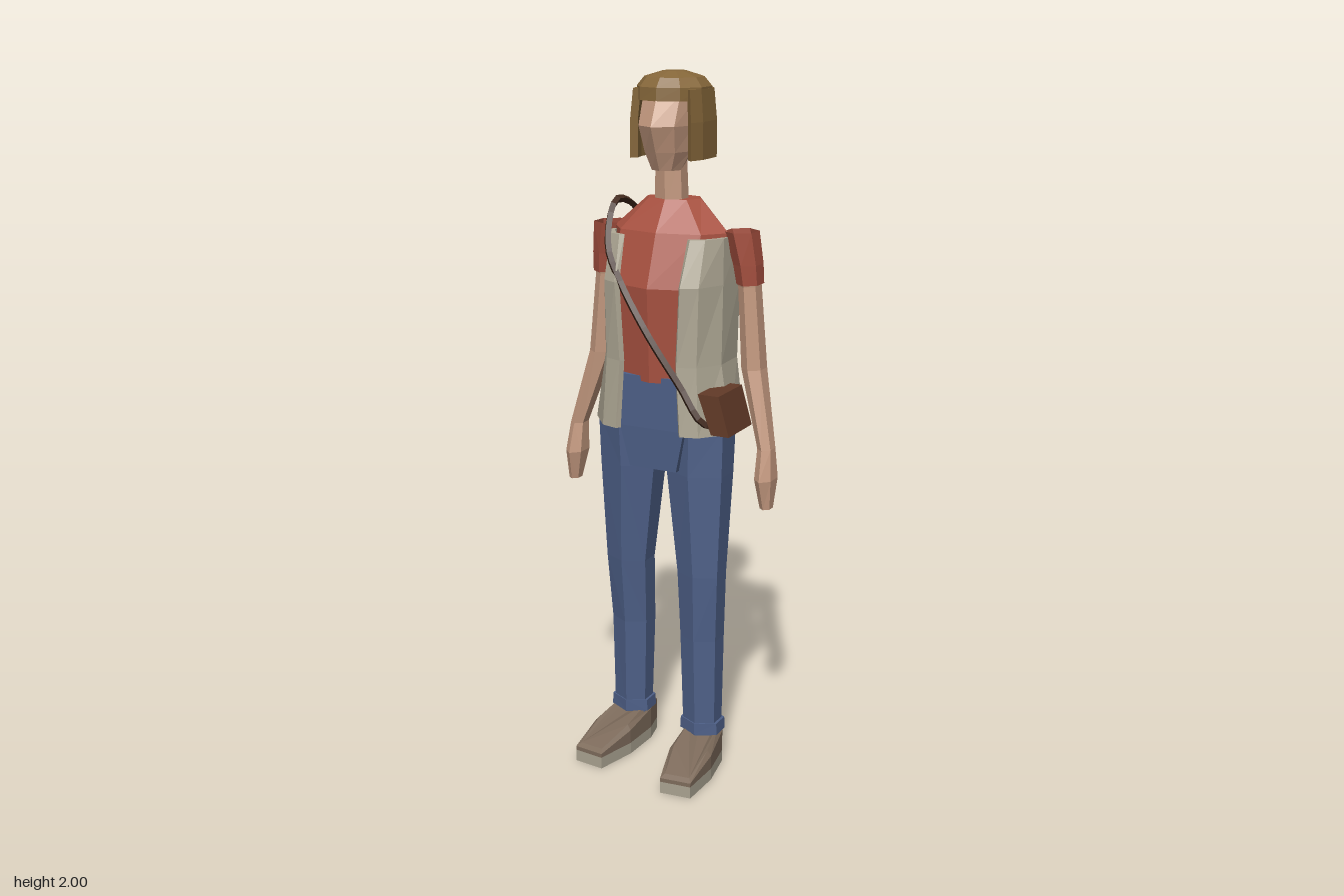
import * as THREE from 'three';

const mat = (name, color, side = THREE.FrontSide) =>
  Object.assign(new THREE.MeshStandardMaterial({ color, flatShading: true, side }), { name });

// Cross-section: n-gon at height y whose extents are exactly rx and rz
function ring([x, y, z, rx, rz], n = 8, phase = 0) {
  const angles = Array.from({ length: n }, (_, i) => phase + (i / n) * Math.PI * 2);
  const kx = Math.max(...angles.map(Math.sin)), kz = Math.max(...angles.map(Math.cos));
  return angles.map(a => [x + rx * Math.sin(a) / kx, y, z + rz * Math.cos(a) / kz]);
}

// Skin between rings listed bottom to top; strip caps suit C-shaped sections
function loft(rings, { cap = true, strip = false } = {}) {
  const n = rings[0].length, index = [];
  for (let i = 0; i < rings.length - 1; i++)
    for (let j = 0; j < n; j++) {
      const a = i * n + j, b = i * n + (j + 1) % n;
      index.push(a, b, b + n, a, b + n, a + n);
    }
  const top = (rings.length - 1) * n;
  const face = (a, b, c) => index.push(top + a, top + b, top + c, c, b, a);
  if (cap && strip)
    for (let k = 0; k < n / 2 - 1; k++) {
      face(k, k + 1, n - 2 - k);
      face(k, n - 2 - k, n - 1 - k);
    }
  else if (cap) for (let k = 1; k < n - 1; k++) face(0, k, k + 1);
  const g = new THREE.BufferGeometry();
  g.setAttribute('position', new THREE.Float32BufferAttribute(rings.flat(2), 3));
  g.setIndex(index);
  return g;
}

const body = (rows, n, phase, opt) => loft(rows.map(r => ring(r, n, phase)), opt);

// Thick C-shaped section: half outline from front edge to centre back, mirrored
function shellRing(y, half, thick, cz) {
  const outer = [...half, ...half.slice(0, -1).reverse().map(([x, z]) => [-x, z])];
  const inner = outer.map(([x, z]) => {
    const l = Math.hypot(x, z - cz);
    return [x - (x / l) * thick, z - ((z - cz) / l) * thick];
  }).reverse();
  return [...outer, ...inner].map(([x, z]) => [x, y, z]);
}

// Mirror across x = 0, keeping faces outward
function mirror(geo) {
  const g = geo.clone().scale(-1, 1, 1), ix = g.index.array;
  for (let i = 0; i < ix.length; i += 3) [ix[i], ix[i + 1]] = [ix[i + 1], ix[i]];
  return g;
}

export function createModel() {
  const model = new THREE.Group();
  model.name = 'figure';
  const skin = mat('skin', 0xc59a80), hair = mat('hair', 0x86673a);
  const shirt = mat('shirt red', 0xa85140, THREE.DoubleSide);
  const vest = mat('vest beige', 0xb0a996), denim = mat('denim', 0x4e6088);
  const shoe = mat('shoe brown', 0x7d6b5b), sole = mat('sole', 0xaaa391);
  const strap = mat('strap', 0x432a1d), leather = mat('leather', 0x633b28);

  const add = (name, geo, material) => {
    const flat = geo.index ? geo.toNonIndexed() : geo;
    flat.computeVertexNormals();
    const m = new THREE.Mesh(flat, material);
    m.name = name;
    model.add(m);
  };
  const pair = (name, geo, material) => {
    add('left' + name, geo, material);
    add('right' + name, mirror(geo), material);
  };

  // Head and neck
  add('head', body([
    [0, 1.74, -0.045, 0.042, 0.045], [0, 1.79, -0.06, 0.065, 0.082],
    [0, 1.86, -0.06, 0.076, 0.11], [0, 1.94, -0.08, 0.078, 0.094]]), skin);
  add('neck', body([[0, 1.63, -0.075, 0.042, 0.042], [0, 1.78, -0.07, 0.038, 0.04]], 6), skin);

  // Hair: crown and a curtain open at the face
  add('hairCrown', body([
    [0, 1.925, -0.088, 0.098, 0.108], [0, 1.96, -0.088, 0.098, 0.105],
    [0, 1.985, -0.088, 0.078, 0.085], [0, 2.0, -0.088, 0.03, 0.035]], 10), hair);
  const bob = [[0.092, -0.005], [0.106, -0.05], [0.106, -0.135], [0.075, -0.182], [0, -0.198]];
  add('hairCurtain', loft([[1.77, 1], [1.87, 1], [1.955, 0.93]].map(([y, s]) =>
    shellRing(y, bob.map(([x, z]) => [x * s, -0.09 + (z + 0.09) * s]), 0.022, -0.09)),
  { strip: true }), hair);

  // Shirt torso
  add('shirt', body([
    [0, 1.165, -0.045, 0.145, 0.105], [0, 1.43, -0.042, 0.16, 0.116],
    [0, 1.575, -0.07, 0.175, 0.092], [0, 1.66, -0.09, 0.082, 0.058]]), shirt);

  // Open vest
  add('vest', loft([
    [1.025, [[0.1, 0.072], [0.15, 0.058], [0.213, -0.02], [0.2, -0.135], [0.1, -0.19], [0, -0.203]]],
    [1.22, [[0.088, 0.07], [0.14, 0.05], [0.182, -0.02], [0.178, -0.13], [0.1, -0.172], [0, -0.183]]],
    [1.44, [[0.1, 0.074], [0.145, 0.05], [0.18, -0.03], [0.182, -0.135], [0.1, -0.172], [0, -0.185]]],
    [1.565, [[0.108, 0.03], [0.145, 0.012], [0.176, -0.04], [0.18, -0.14], [0.1, -0.168], [0, -0.176]]],
  ].map(([y, half]) => shellRing(y, half, 0.015, -0.06)), { strip: true }), vest);

  // Arms and open sleeves
  pair('Arm', body([
    [0.309, 0.815, -0.055, 0.015, 0.024], [0.304, 0.9, -0.06, 0.025, 0.05],
    [0.3, 0.985, -0.068, 0.02, 0.034], [0.242, 1.2, -0.106, 0.029, 0.046],
    [0.224, 1.43, -0.108, 0.026, 0.042], [0.205, 1.55, -0.095, 0.034, 0.046]], 6), skin);
  pair('Sleeve', body([
    [0.225, 1.435, -0.108, 0.031, 0.048], [0.22, 1.49, -0.104, 0.034, 0.051],
    [0.203, 1.58, -0.095, 0.041, 0.054]], 6, 0, { cap: false }), shirt);

  // Trousers
  add('hips', body([
    [0, 0.91, -0.045, 0.073, 0.085], [0, 1.03, -0.045, 0.1, 0.093],
    [0, 1.18, -0.045, 0.115, 0.096]], 4, Math.PI / 4), denim);

  // Legs, cuffs and shoes; the right foot stands a little further back
  for (const [side, s, back] of [['left', 1, 0], ['right', -1, -0.045]]) {
    const shift = rows => rows.map(([x, y, z, rx, rz]) =>
      [x, y, z + back * Math.min(1, 1.4 * (1 - y / 1.04)), rx, rz]);
    const put = (name, geo, m) => add(side + name, s > 0 ? geo : mirror(geo), m);
    put('Leg', body(shift([
      [0.127, 0.1, -0.032, 0.05, 0.05], [0.123, 0.4, -0.034, 0.056, 0.058],
      [0.123, 0.6, -0.028, 0.063, 0.06], [0.109, 0.9, -0.04, 0.086, 0.078],
      [0.11, 1.04, -0.045, 0.087, 0.084]]), 6), denim);
    put('Cuff', body(shift([
      [0.127, 0.105, -0.033, 0.06, 0.055], [0.127, 0.14, -0.033, 0.058, 0.055]]), 6), denim);

    const half = [[0.046, 0.155], [0.064, 0.03], [0.056, -0.09], [0.034, -0.155]];
    const plan = [...half, ...half.slice().reverse().map(([x, z]) => [-x, z])];
    const layer = (height, k = 1) => plan.map(([x, z]) => [x * k, height(z), z * (k + 1) / 2]);
    const place = g => g.rotateY(0.11).translate(0.138, 0, 0.045 + back);
    const upper = z => (z > 0.1 ? 0.055 : z > 0 ? 0.09 : 0.115);
    put('Sole', place(loft([layer(() => 0), layer(() => 0.035)])), sole);
    put('Shoe', place(loft([layer(() => 0.035), layer(z => upper(z) * 0.85), layer(upper, 0.8)])), shoe);
  }

  // Shoulder strap
  const path = new THREE.CatmullRomCurve3([
    [-0.09, 1.44, 0.06], [-0.135, 1.53, 0.045], [-0.157, 1.645, -0.035], [-0.152, 1.64, -0.1],
    [-0.135, 1.57, -0.178], [0, 1.33, -0.194], [0.165, 1.08, -0.182], [0.216, 1.05, -0.06],
    [0.17, 1.07, 0.065], [0.1, 1.17, 0.073], [0, 1.31, 0.078],
  ].map(p => new THREE.Vector3(...p)), true);
  add('shoulderStrap', new THREE.TubeGeometry(path, 60, 0.011, 4, true), strap);

  // Slanted hip pouch
  add('pouch', loft([[0.205, 0.258, 1.05], [0.164, 0.226, 1.16]].map(([a, b, y]) =>
    [[a, y, 0.09], [b, y, 0.09], [b, y, -0.06], [a, y, -0.06]])), leather);

  return model;
}
